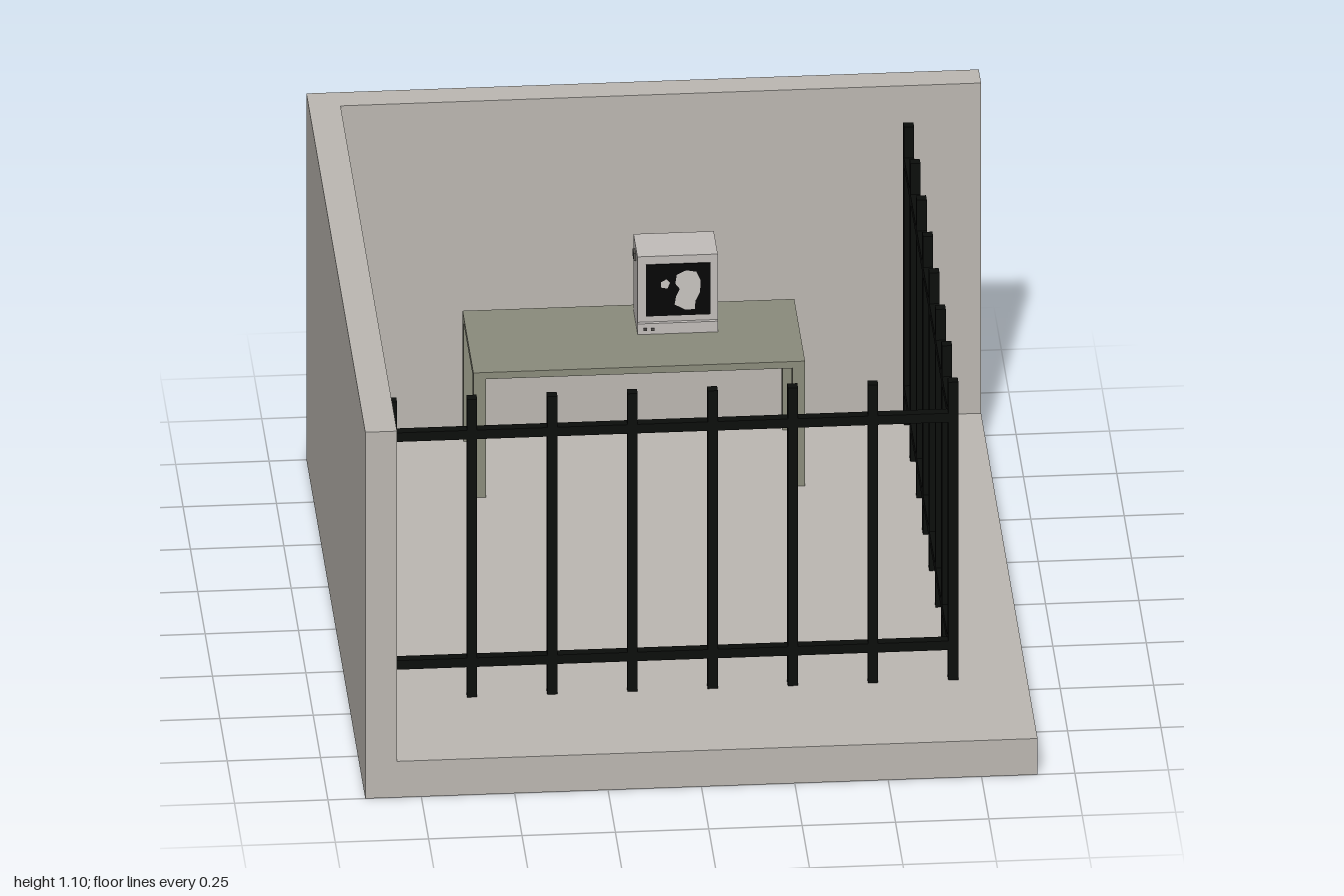
import * as THREE from 'three';

const flat = (name, color, extra = {}) => {
  const m = new THREE.MeshStandardMaterial({ color, ...extra });
  m.name = name;
  return m;
};

export function createModel() {
  const model = new THREE.Group();
  model.name = 'cell';
  const concrete = flat('concrete', 0xbcb8b2);
  const iron = flat('black iron', 0x0b0d0b);
  const tableGreen = flat('table green', 0x8b8c7c);
  const plastic = flat('monitor plastic', 0xc2bdba);
  const black = flat('screen black', 0x060606);
  const pale = flat('screen image', 0xc8c4c0);
  const dark = flat('control grey', 0x55524f);

  // Box given by its minimum and maximum corners
  const box = (parent, name, mat, [x0, y0, z0], [x1, y1, z1]) => {
    const mesh = new THREE.Mesh(new THREE.BoxGeometry(x1 - x0, y1 - y0, z1 - z0), mat);
    mesh.position.set((x0 + x1) / 2, (y0 + y1) / 2, (z0 + z1) / 2);
    mesh.name = name;
    parent.add(mesh);
    return mesh;
  };
  const group = (name) => {
    const g = new THREE.Group();
    g.name = name;
    model.add(g);
    return g;
  };

  // Floor and the two walls
  const floorY = 0.108, top = 1.097;
  const room = group('room');
  box(room, 'floor', concrete, [-0.9, 0, -1], [0.9, floorY, 1]);
  box(room, 'backWall', concrete, [-0.9, floorY, -1], [0.9, top, -0.92]);
  box(room, 'sideWall', concrete, [-0.9, floorY, -0.92], [-0.815, top, 1]);

  // Barred fence: a front run and a side run sharing the corner bar
  const bars = group('bars');
  const r = 0.0135, cx = 0.703, cz = 0.626;
  const bar = (x, z) => box(bars, 'bar', iron, [x - r, floorY, z - r], [x + r, 1.0, z + r]);
  for (let i = 0; i < 8; i++) bar(-0.8 + (i * (cx + 0.8)) / 7, cz);
  for (let i = 1; i < 8; i++) bar(cx, cz - (i * (cz + 0.88)) / 7);
  for (const y of [0.212, 0.894]) {
    box(bars, 'frontRail', iron, [-0.815, y - r, cz - r], [cx + r, y + r, cz + r]);
    box(bars, 'sideRail', iron, [cx - r, y - r, -0.893], [cx + r, y + r, cz - r]);
  }

  // Table
  const table = group('table');
  const tableY = 0.482, leg = 0.034;
  box(table, 'tableTop', tableGreen, [-0.49, 0.462, -0.897], [0.398, tableY, -0.53]);
  for (const x of [-0.49, 0.398 - leg])
    for (const z of [-0.897, -0.53 - leg])
      box(table, 'tableLeg', tableGreen, [x, floorY, z], [x + leg, 0.462, z + leg]);

  // Monitor: base, case and a tapered back
  const monitor = group('monitor');
  const x0 = -0.035, x1 = 0.18, front = -0.73;
  box(monitor, 'base', plastic, [x0, tableY, -0.865], [x1, 0.514, -0.72]);
  box(monitor, 'case', plastic, [x0, 0.514, -0.865], [x1, 0.71, front]);
  const back = box(monitor, 'tubeHousing', plastic, [x0 + 0.01, 0.525, -0.892], [x1 - 0.01, 0.7, -0.865]);
  const p = back.geometry.attributes.position;
  for (let i = 0; i < p.count; i++)
    if (p.getZ(i) < 0) p.setXY(i, p.getX(i) * 0.8, p.getY(i) * 0.8);
  back.geometry.computeVertexNormals();

  // Screen with a pale picture on it
  box(monitor, 'screen', black, [-0.012, 0.532, front], [0.16, 0.686, front + 0.003]);
  const patch = (points) => {
    const shape = new THREE.Shape(points.map(([x, y]) => new THREE.Vector2(x, y)));
    const mesh = new THREE.Mesh(new THREE.ShapeGeometry(shape), pale);
    mesh.position.z = front + 0.005;
    mesh.name = 'screenImage';
    monitor.add(mesh);
  };
  patch([[0.092, 0.55], [0.118, 0.55], [0.12, 0.575], [0.132, 0.6], [0.134, 0.635],
    [0.122, 0.662], [0.095, 0.667], [0.07, 0.655], [0.066, 0.628], [0.078, 0.612],
    [0.068, 0.59], [0.064, 0.566]]);
  patch([[0.028, 0.618], [0.045, 0.614], [0.052, 0.632], [0.042, 0.642], [0.028, 0.634]]);

  // Buttons on the base and a side knob
  for (const x of [-0.02, 0.0])
    box(monitor, 'button', dark, [x, 0.494, -0.72], [x + 0.01, 0.501, -0.716]);
  box(monitor, 'sideKnob', dark, [x0 - 0.006, 0.67, -0.815], [x0, 0.692, -0.785]);

  return model;
}
